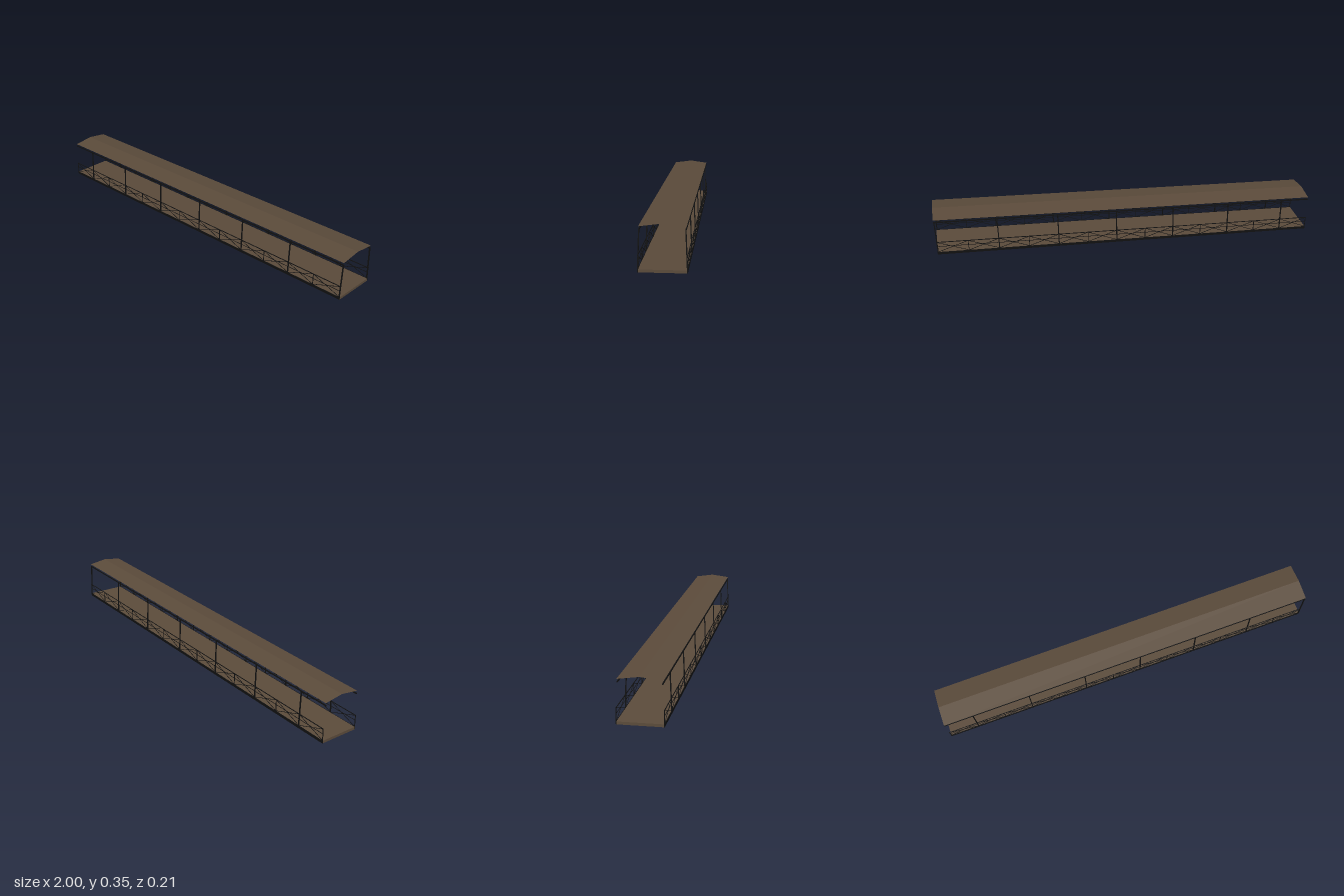
import * as THREE from 'three';

const SLOPE = 0.0685;
const rise = (x) => SLOPE * (x + 1);

export function createModel() {
  const model = new THREE.Group();
  model.name = 'coveredRamp';
  const brown = new THREE.MeshStandardMaterial({ color: 0x5a4a3a, side: THREE.DoubleSide });
  brown.name = 'brownPanel';
  const black = new THREE.MeshStandardMaterial({ color: 0x101010 });
  black.name = 'blackMetal';

  const add = (parent, name, geometry, material) => {
    const mesh = new THREE.Mesh(geometry, material);
    mesh.name = name;
    parent.add(mesh);
    return mesh;
  };

  // Box lifted along the ramp slope
  const slopedBox = (parent, name, y0, y1, z0, z1, material) => {
    const g = new THREE.BoxGeometry(2, y1 - y0, z1 - z0);
    g.translate(0, (y0 + y1) / 2, (z0 + z1) / 2);
    const p = g.attributes.position;
    for (let i = 0; i < p.count; i++) p.setY(i, p.getY(i) + rise(p.getX(i)));
    g.computeVertexNormals();
    return add(parent, name, g, material);
  };

  // Square bar between two points whose heights are measured from the ramp
  const bar = (parent, name, [xa, ya, za], [xb, yb, zb], t) => {
    const a = new THREE.Vector3(xa, ya + rise(xa), za);
    const b = new THREE.Vector3(xb, yb + rise(xb), zb);
    const mesh = add(parent, name, new THREE.BoxGeometry(t, a.distanceTo(b), t), black);
    mesh.position.copy(a).lerp(b, 0.5);
    mesh.quaternion.setFromUnitVectors(new THREE.Vector3(0, 1, 0), b.sub(a).normalize());
  };

  // Walking deck
  slopedBox(model, 'deck', 0, 0.013, -0.103, 0.103, brown);

  // Shallow gabled roof sheet, one plane per side
  for (const s of [1, -1]) {
    const g = new THREE.PlaneGeometry(2, 0.1).rotateX(-Math.PI / 2);
    g.translate(0, 0, s * 0.05);
    const p = g.attributes.position;
    for (let i = 0; i < p.count; i++) {
      p.setY(i, 0.2135 - 0.137 * Math.abs(p.getZ(i)) + rise(p.getX(i)));
    }
    g.computeVertexNormals();
    add(model, s > 0 ? 'frontRoof' : 'backRoof', g, brown);
  }

  // Side frames: edge beam, eave beam, posts and braced railing
  const step = 0.1535;
  for (const s of [1, -1]) {
    const side = new THREE.Group();
    side.name = s > 0 ? 'frontSide' : 'backSide';
    model.add(side);
    const strip = (name, y0, y1, za, zb) =>
      slopedBox(side, name, y0, y1, Math.min(s * za, s * zb), Math.max(s * za, s * zb), black);
    strip('edgeBeam', 0, 0.013, 0.103, 0.106);
    strip('eaveBeam', 0.184, 0.189, 0.095, 0.1);
    strip('handrail', 0.071, 0.074, 0.103, 0.106);
    strip('middleRail', 0.046, 0.048, 0.1035, 0.1055);

    const z = s * 0.1045;
    const xs = [-0.9985];
    for (let k = 0; k < 13; k++) xs.push(0.9965 - (12 - k) * step);
    xs.forEach((x, i) => {
      // Tall leaning post at every second railing post
      if (i % 2 === 1) bar(side, 'post', [x, 0.008, z], [x, 0.187, s * 0.0975], 0.005);
      else bar(side, 'railPost', [x, 0.008, z], [x, 0.072, z], 0.003);
      // Crossed braces
      if (i < xs.length - 1) {
        const n = xs[i + 1];
        bar(side, 'brace', [x, 0.014, z], [n, 0.072, z], 0.002);
        bar(side, 'brace', [x, 0.072, z], [n, 0.014, z], 0.002);
      }
    });
  }
  return model;
}
